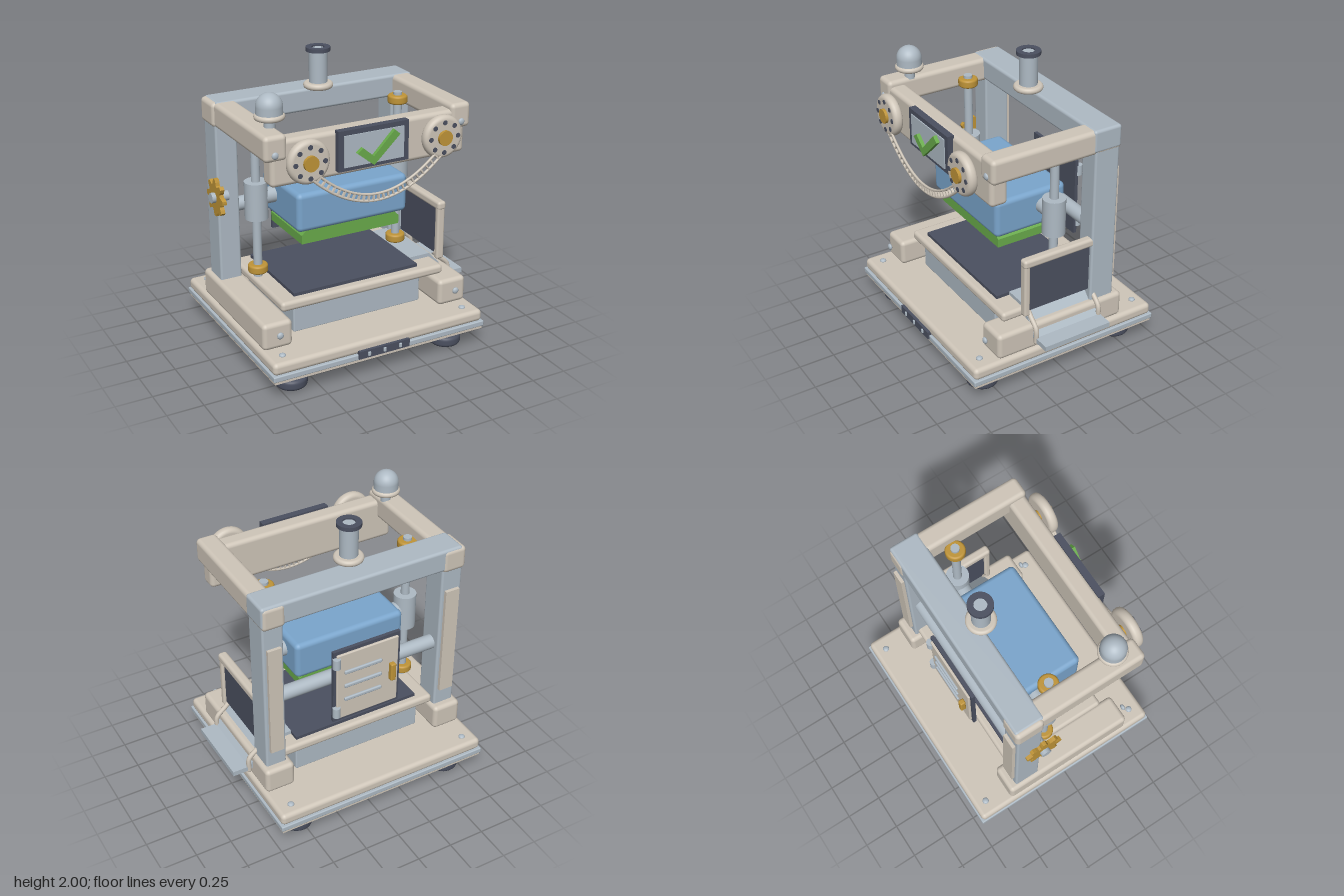
import * as THREE from 'three';
import { RoundedBoxGeometry } from 'three/addons/geometries/RoundedBoxGeometry.js';

export function createModel() {
  const model = new THREE.Group();
  model.name = 'pressMachine';
  const mat = (name, color) => {
    const m = new THREE.MeshStandardMaterial({ color });
    m.name = name;
    return m;
  };
  const cream = mat('cream', 0xcfc6b9), steel = mat('steel', 0xaebac4), dark = mat('darkSlate', 0x4b5060);
  const blue = mat('blue', 0x7aa5cc), green = mat('green', 0x69ab4b), gold = mat('gold', 0xbf9438);

  const add = (name, geo, material, x = 0, y = 0, z = 0) => {
    const mesh = new THREE.Mesh(geo, material);
    mesh.name = name;
    mesh.position.set(x, y, z);
    model.add(mesh);
    return mesh;
  };
  // Box given by its bounds, rounded when r > 0
  const box = (name, material, x0, x1, y0, y1, z0, z1, r = 0) => {
    const w = x1 - x0, h = y1 - y0, d = z1 - z0;
    const geo = r ? new RoundedBoxGeometry(w, h, d, 3, r) : new THREE.BoxGeometry(w, h, d);
    return add(name, geo, material, (x0 + x1) / 2, (y0 + y1) / 2, (z0 + z1) / 2);
  };
  // Cylinder centred on a point, along the given axis
  const cyl = (name, material, r, len, x, y, z, axis = 'y') => {
    const geo = new THREE.CylinderGeometry(r, r, len, 32);
    if (axis === 'x') geo.rotateZ(Math.PI / 2);
    if (axis === 'z') geo.rotateX(Math.PI / 2);
    return add(name, geo, material, x, y, z);
  };
  // Round disc with soft edges, made by lathe around y
  const disc = (r, h, e) => {
    const pts = [new THREE.Vector2(0, -h / 2)];
    for (let i = 0; i <= 5; i++) {
      const a = -Math.PI / 2 + (i / 5) * Math.PI / 2;
      pts.push(new THREE.Vector2(r - e + Math.cos(a) * e, -h / 2 + e + Math.sin(a) * e));
    }
    for (let i = 0; i <= 5; i++) {
      const a = (i / 5) * Math.PI / 2;
      pts.push(new THREE.Vector2(r - e + Math.cos(a) * e, h / 2 - e + Math.sin(a) * e));
    }
    pts.push(new THREE.Vector2(0, h / 2));
    return new THREE.LatheGeometry(pts, 40);
  };
  const bolt = (name, x, y, z, axis) => {
    const m = add(name, new THREE.SphereGeometry(0.023, 16, 10), steel, x, y, z);
    m.scale[axis] = 0.6;
  };
  const cx = -0.06; // middle of the machine body

  // Feet
  for (const x of [-0.653, 0.53]) for (const z of [0.53, -0.55]) {
    add('foot', disc(0.108, 0.075, 0.025), dark, x, 0.0375, z);
    cyl('footStem', steel, 0.05, 0.07, x, 0.1, z);
    cyl('footCollar', steel, 0.07, 0.02, x, 0.12, z);
  }

  // Layered base
  box('baseBottom', cream, -0.845, 0.72, 0.13, 0.15, -0.72, 0.695);
  box('baseBand', steel, -0.855, 0.73, 0.15, 0.19, -0.73, 0.705, 0.008);
  box('baseTop', cream, -0.848, 0.722, 0.185, 0.27, -0.72, 0.695, 0.03);
  for (const x of [-0.745, 0.615]) for (const z of [-0.635, 0.6]) bolt('baseBolt', x, 0.272, z, 'y');
  box('controlStrip', dark, -0.25, 0.13, 0.16, 0.215, 0.68, 0.716);
  for (const x of [-0.176, -0.06, 0.058]) box('controlButton', steel, x - 0.01, x + 0.01, 0.172, 0.203, 0.71, 0.725, 0.005);

  // Side rails, bed and platform
  for (const [a, b] of [[-0.83, -0.62], [0.49, 0.703]]) {
    box('sideRail', cream, a, b, 0.265, 0.45, -0.472, 0.505, 0.03);
    bolt('railBolt', a < 0 ? -0.73 : 0.595, 0.38, 0.545, 'z');
  }
  box('bedBox', steel, -0.545, 0.42, 0.265, 0.455, -0.35, 0.36, 0.01);
  box('tray', cream, -0.645, 0.585, 0.45, 0.517, -0.39, 0.4, 0.025);
  box('platform', dark, -0.53, 0.41, 0.51, 0.54, -0.34, 0.34);

  // Columns, back beam and arms
  for (const s of [-1, 1]) {
    const a = s < 0 ? -0.8 : 0.525, b = s < 0 ? -0.645 : 0.672;
    box('column', steel, a, b, 0.27, 1.7, -0.415, -0.23, 0.015);
    box('columnBackPanel', cream, a + 0.025, b - 0.025, 0.575, 1.4, -0.438, -0.41);
    box('beamCap', cream, a - 0.015, b + 0.003, 1.545, 1.712, -0.432, -0.225, 0.03);
    box('sideArm', cream, a, b, 1.545, 1.713, -0.26, 0.525, 0.03);
  }
  box('backBeam', steel, -0.79, 0.677, 1.56, 1.717, -0.425, -0.215, 0.02);
  box('frontBeam', cream, -0.755, 0.635, 1.375, 1.675, 0.39, 0.515, 0.03);
  for (const x of [-0.73, 0.6]) bolt('beamBolt', x, 1.59, 0.525, 'z');
  cyl('crossBar', steel, 0.05, 1.25, cx, 0.945, -0.33, 'x');

  // Guide rods with bushings and collars
  for (const x of [-0.6, 0.473]) {
    cyl('guideRod', steel, 0.03, 1.14, x, 1.08, -0.06);
    cyl('bushing', steel, 0.078, 0.26, x, 1.07, -0.06);
    for (const y of [0.575, 1.6]) add('rodCollar', disc(0.068, 0.06, 0.015), gold, x, y, -0.06);
  }
  cyl('carriageShaft', steel, 0.055, 1.0, cx, 1.085, -0.06, 'x');

  // Press head
  box('pressHead', blue, -0.472, 0.345, 0.932, 1.2, -0.24, 0.3, 0.035);
  const padShape = new THREE.Shape([[-0.365, 0], [0.365, 0], [0.365, 0.06], [0.325, 0.1], [-0.325, 0.1], [-0.365, 0.06]]
    .map(p => new THREE.Vector2(...p)));
  add('pressPad', new THREE.ExtrudeGeometry(padShape, { depth: 0.46, bevelEnabled: false }), green, -0.063, 0.835, -0.2);

  // Screen with check mark
  box('screenFrame', dark, -0.315, 0.187, 1.415, 1.68, 0.505, 0.553);
  box('screen', steel, -0.277, 0.15, 1.44, 1.648, 0.552, 0.56);
  const check = new THREE.Shape([[-0.2, 1.53], [-0.08, 1.435], [0.105, 1.61], [0.065, 1.645], [-0.083, 1.495], [-0.16, 1.56]]
    .map(p => new THREE.Vector2(...p)));
  add('checkMark', new THREE.ExtrudeGeometry(check, { depth: 0.025, bevelEnabled: false }), green, 0, 0, 0.562);

  // Wheels
  const wheelY = 1.54;
  for (const x of [-0.54, 0.415]) {
    const rim = disc(0.143, 0.07, 0.03);
    rim.rotateX(Math.PI / 2);
    add('wheel', rim, cream, x, wheelY, 0.582);
    cyl('wheelAxle', gold, 0.04, 0.1, x, wheelY, 0.54, 'z');
    cyl('wheelHub', gold, 0.05, 0.04, x, wheelY, 0.617, 'z');
    for (let i = 0; i < 8; i++) {
      const a = i * Math.PI / 4;
      cyl('wheelHole', dark, 0.016, 0.008, x + Math.cos(a) * 0.1, wheelY + Math.sin(a) * 0.1, 0.617, 'z');
    }
  }

  // Hanging ladder chain
  const centre = x => new THREE.Vector2(x, 1.228 + 1.06 * (x - cx) ** 2);
  const rails = [[], []];
  for (let i = 0; i <= 26; i++) {
    const x = cx + (i / 13 - 1) * 0.46, c = centre(x);
    const angle = Math.atan(2.12 * (x - cx));
    for (const k of [0, 1]) {
      const o = (k * 2 - 1) * 0.022;
      rails[k].push(new THREE.Vector3(c.x - Math.sin(angle) * o, c.y + Math.cos(angle) * o, 0.608));
    }
    const rung = add('chainRung', new THREE.BoxGeometry(0.011, 0.045, 0.015), cream, c.x, c.y, 0.608);
    rung.rotation.z = angle;
  }
  for (const pts of rails) add('chainRail', new THREE.TubeGeometry(new THREE.CatmullRomCurve3(pts), 60, 0.009, 8), cream);

  // Top post
  const postZ = -0.203;
  cyl('topPost', steel, 0.062, 0.28, cx, 1.85, postZ);
  add('postFlange', disc(0.1, 0.042, 0.02), cream, cx, 1.74, postZ);
  const ring = new THREE.Shape().absarc(0, 0, 0.082, 0, Math.PI * 2);
  ring.holes.push(new THREE.Path().absarc(0, 0, 0.042, 0, Math.PI * 2, true));
  const ringGeo = new THREE.ExtrudeGeometry(ring, { depth: 0.027, bevelEnabled: false, curveSegments: 32 });
  ringGeo.rotateX(-Math.PI / 2);
  add('postCap', ringGeo, dark, cx, 1.973, postZ);

  // Beacon
  const bx = -0.68, bz = 0.348;
  cyl('beaconStem', steel, 0.035, 0.07, bx, 1.735, bz);
  add('beaconBase', disc(0.097, 0.038, 0.018), cream, bx, 1.781, bz);
  cyl('beaconBody', steel, 0.085, 0.06, bx, 1.815, bz);
  add('beaconDome', new THREE.SphereGeometry(0.085, 32, 12, 0, Math.PI * 2, 0, Math.PI / 2), steel, bx, 1.845, bz);

  // Hand wheel with lobes
  const lobes = [];
  for (let i = 0; i < 64; i++) {
    const a = i / 64 * Math.PI * 2, r = 0.112 + 0.02 * Math.tanh(3 * Math.cos(8 * a));
    lobes.push(new THREE.Vector2(Math.cos(a) * r, Math.sin(a) * r));
  }
  const knob = new THREE.ExtrudeGeometry(new THREE.Shape(lobes), { depth: 0.03, bevelEnabled: false });
  knob.rotateY(-Math.PI / 2);
  add('handWheel', knob, gold, -0.797, 1.07, -0.22);
  cyl('handWheelHub', steel, 0.035, 0.12, -0.795, 1.07, -0.22, 'x');

  // Back hatch
  box('hatchFrame', dark, -0.315, 0.19, 0.66, 1.23, -0.45, -0.425);
  box('hatchDoor', cream, -0.295, 0.17, 0.685, 1.205, -0.466, -0.445, 0.008);
  for (const y of [1.06, 0.95, 0.84]) box('hatchVent', steel, -0.165, 0.117, y - 0.014, y + 0.014, -0.48, -0.46, 0.009);
  for (const y of [1.15, 0.75]) cyl('hatchHinge', steel, 0.027, 0.075, 0.173, y, -0.463);
  box('hatchHandle', gold, -0.26, -0.22, 0.88, 1.015, -0.505, -0.465, 0.01);

  // Side outlet: door frame, dark curtain and chute
  for (const z of [0.262, -0.255]) box('outletPost', cream, 0.607, 0.665, 0.5, 0.9, z - 0.022, z + 0.022, 0.015);
  box('outletTop', cream, 0.605, 0.67, 0.868, 0.93, -0.28, 0.288, 0.02);
  box('outletCurtain', dark, 0.625, 0.645, 0.53, 0.88, -0.24, 0.245);
  const chute = new THREE.Shape([[0.41, 0.543], [0.57, 0.543], [0.735, 0.365], [0.85, 0.365], [0.85, 0.33], [0.72, 0.33], [0.555, 0.515], [0.41, 0.515]]
    .map(p => new THREE.Vector2(...p)));
  add('chute', new THREE.ExtrudeGeometry(chute, { depth: 0.51, bevelEnabled: false }), steel, 0, 0, -0.268);
  for (const z of [0.235, -0.26]) {
    const path = new THREE.CatmullRomCurve3([[0.6, 0.55], [0.66, 0.49], [0.725, 0.425], [0.728, 0.33]]
      .map(([x, y]) => new THREE.Vector3(x, y, z)));
    add('chuteRail', new THREE.TubeGeometry(path, 24, 0.017, 10), cream);
    add('chuteRailEnd', new THREE.SphereGeometry(0.017, 12, 8), cream, 0.728, 0.33, z);
  }

  return model;
}
